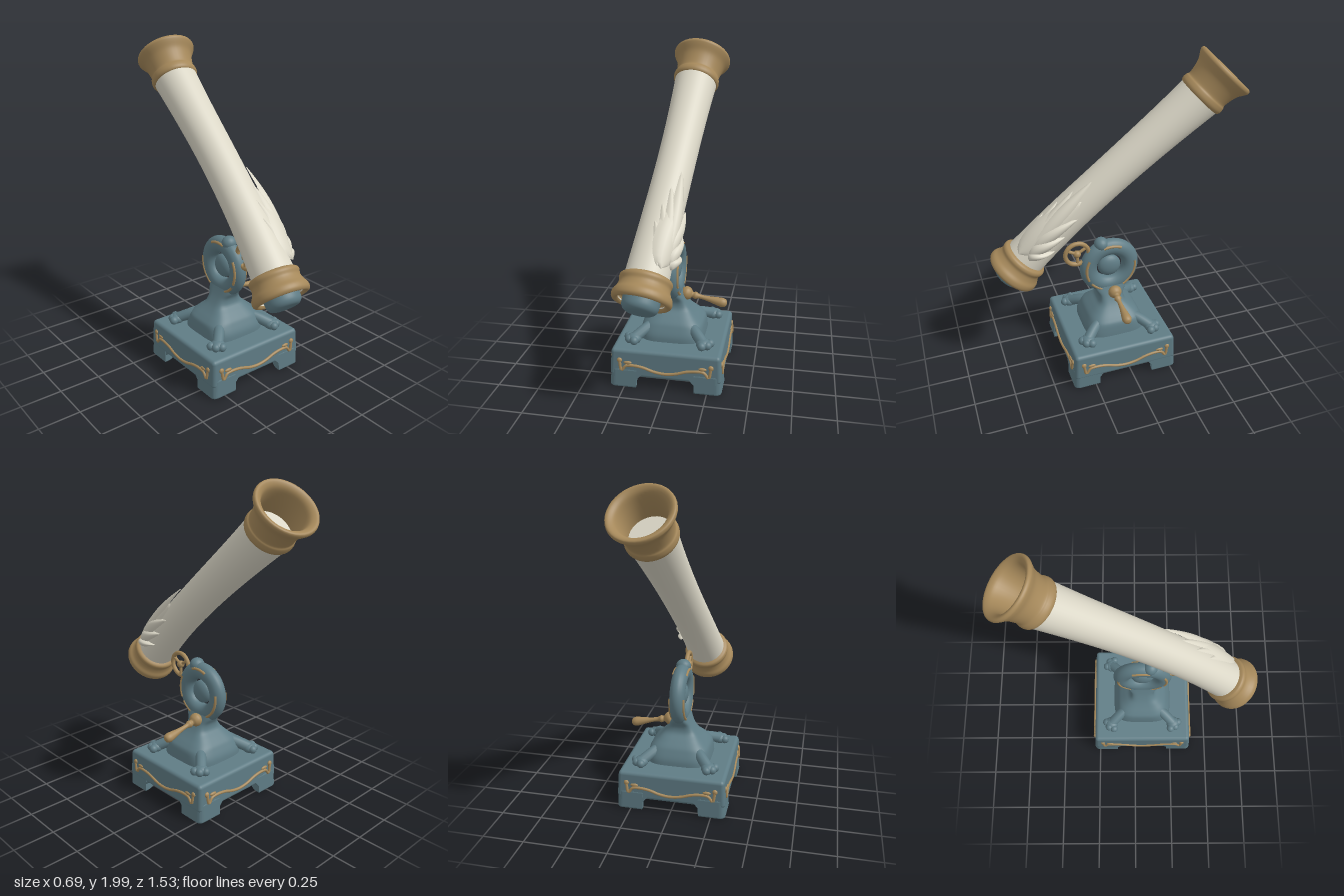
import * as THREE from 'three';
import { mergeVertices } from 'three/addons/utils/BufferGeometryUtils.js';
import { RoundedBoxGeometry } from 'three/addons/geometries/RoundedBoxGeometry.js';

const V = (x, y, z) => new THREE.Vector3(x, y, z);
const UP = V(0, 1, 0);

// Smooth surface from a rule fn(u, v), both running 0..1
function surface(fn, nu, nv) {
  const pos = [], idx = [];
  for (let j = 0; j <= nv; j++)
    for (let i = 0; i <= nu; i++) pos.push(...fn(i / nu, j / nv).toArray());
  for (let j = 0; j < nv; j++)
    for (let i = 0; i < nu; i++) {
      const a = j * (nu + 1) + i, b = a + 1, d = a + nu + 1, c = d + 1;
      idx.push(a, b, d, b, c, d);
    }
  let g = new THREE.BufferGeometry();
  g.setAttribute('position', new THREE.Float32BufferAttribute(pos, 3));
  g.setIndex(idx);
  g = mergeVertices(g);
  g.computeVertexNormals();
  return g;
}

// Turned part with a smooth profile of [radius, height] points
function turned(points, seg = 40) {
  const curve = new THREE.SplineCurve(points.map(p => new THREE.Vector2(...p)));
  const pts = curve.getPoints(points.length * 4);
  pts.forEach(p => { p.x = Math.max(p.x, 0); });
  return new THREE.LatheGeometry(pts, seg);
}

export function createModel() {
  const model = new THREE.Group();
  const mat = (name, color) => {
    const m = new THREE.MeshStandardMaterial({ color });
    m.name = name;
    return m;
  };
  const ivory = mat('ivory', 0xdad6c6);
  ivory.side = THREE.DoubleSide;
  const blue = mat('slate blue', 0x5f7c85);
  const gold = mat('old gold', 0xa5885a);

  const add = (name, geo, material, parent = model) => {
    const m = new THREE.Mesh(geo, material);
    m.name = name;
    parent.add(m);
    return m;
  };
  const place = (mesh, at, dir) => {
    mesh.position.copy(at);
    mesh.quaternion.setFromUnitVectors(UP, dir.clone().normalize());
    return mesh;
  };
  const rod = (name, a, b, r, material, parent) => place(
    add(name, new THREE.CylinderGeometry(r, r, a.distanceTo(b), 12), material, parent),
    a.clone().lerp(b, 0.5), b.clone().sub(a));
  const ball = (name, at, r, material, parent, scale = [1, 1, 1]) => {
    const m = add(name, new THREE.SphereGeometry(r, 20, 14), material, parent);
    m.position.copy(at);
    m.scale.set(...scale);
    return m;
  };

  // ---- Barrel, gently bent along its axis
  const axis = new THREE.CatmullRomCurve3([
    V(-0.07, 0.70, 0.645), V(-0.058, 0.80, 0.555), V(-0.03, 1.03, 0.325),
    V(0, 1.305, 0.015), V(0.036, 1.735, -0.505)]);
  const length = axis.getLength();
  const radius = u => 0.113 + 0.05 * (u - 0.55) ** 2 + 0.012 * u ** 4;
  // Point on the barrel: angle 0 faces +x, 90 degrees faces up and forward
  const onBarrel = (u, angle, off = 0) => {
    const p = axis.getPointAt(u), t = axis.getTangentAt(u);
    const side = V(1, 0, 0).addScaledVector(t, -t.x).normalize();
    const top = side.clone().cross(t);
    const r = radius(u) + off;
    return p.addScaledVector(side, r * Math.cos(angle)).addScaledVector(top, r * Math.sin(angle));
  };
  add('barrel', surface((u, v) => onBarrel(v, u * Math.PI * 2), 40, 40), ivory);

  // Muzzle
  const neck = V(0.036, 1.735, -0.505), muzzleDir = V(0.02, 0.13, -0.122);
  place(add('muzzle', turned([[0.118, -0.035], [0.138, -0.03], [0.146, -0.012], [0.143, 0.012],
    [0.136, 0.03], [0.142, 0.075], [0.154, 0.115], [0.176, 0.15], [0.184, 0.168], [0.178, 0.184],
    [0.16, 0.182], [0.138, 0.16], [0.126, 0.11], [0.12, 0.05], [0.119, -0.01]]), gold), neck, muzzleDir);
  place(add('boreFloor', new THREE.CylinderGeometry(0.121, 0.121, 0.008, 40), ivory), neck, muzzleDir);

  // Breech ring and plug
  const breech = axis.getPointAt(0), breechDir = axis.getTangentAt(0);
  place(add('breechRing', turned([[0.09, 0.025], [0.122, 0.02], [0.132, -0.005], [0.15, -0.015],
    [0.166, 0], [0.165, 0.028], [0.15, 0.055], [0.142, 0.085], [0.148, 0.11], [0.142, 0.128],
    [0.122, 0.138]]), gold), breech, breechDir);
  place(add('breechPlug', turned([[0, -0.068], [0.05, -0.067], [0.082, -0.06], [0.1, -0.038],
    [0.104, 0], [0.104, 0.03]]), blue), breech, breechDir);

  // Wing on the left flank: [start, angle, end, angle, half width, lift]
  const wing = new THREE.Group();
  wing.name = 'wing';
  model.add(wing);
  const rad = Math.PI / 180;
  [
    [0.16, 50, 0.64, 32, 0.075, 0.034],
    [0.20, 38, 0.76, 54, 0.040, 0.040],
    [0.20, 45, 0.64, 72, 0.036, 0.032],
    [0.18, 52, 0.53, 84, 0.034, 0.026],
    [0.17, 60, 0.42, 92, 0.030, 0.020],
    [0.24, 32, 0.55, 4, 0.036, 0.044],
    [0.20, 25, 0.42, -8, 0.034, 0.048],
    [0.18, 20, 0.31, -18, 0.028, 0.050],
  ].forEach(([s0, a0, s1, a1, w, lift]) => {
    add('feather', surface((b, a) => {
      const c = b * 2 - 1;
      const width = w * Math.sin(Math.PI * Math.pow(a, 0.75)) ** 0.7;
      const u = (s0 + (s1 - s0) * a) / length;
      const angle = (a0 + (a1 - a0) * a * a) * rad + c * width / 0.12;
      const off = 0.005 + lift * Math.sin(Math.PI * (0.12 + 0.83 * a)) * (1 - 0.6 * c * c);
      return onBarrel(u, angle, off);
    }, 8, 16), ivory, wing);
  });

  // ---- Stand
  const stand = new THREE.Group();
  stand.name = 'stand';
  stand.position.z = 0.05;
  model.add(stand);

  // Base slab and corner feet, widening towards the floor
  const taper = g => {
    const p = g.attributes.position;
    for (let i = 0; i < p.count; i++) {
      const k = 1 + (0.245 - p.getY(i)) * 0.15;
      p.setX(i, p.getX(i) * k);
      p.setZ(i, p.getZ(i) * k);
    }
    return g;
  };
  add('baseSlab', taper(new RoundedBoxGeometry(0.656, 0.175, 0.65, 4, 0.022).translate(0, 0.1575, 0)), blue, stand);
  const corner = new THREE.Shape();
  corner.moveTo(0.315, 0.29);
  corner.quadraticCurveTo(0.315, 0.315, 0.29, 0.315);
  corner.lineTo(0.18, 0.315);
  corner.quadraticCurveTo(0.18, 0.265, 0.225, 0.225);
  corner.quadraticCurveTo(0.265, 0.18, 0.315, 0.18);
  corner.closePath();
  for (let i = 0; i < 4; i++) {
    const g = new THREE.ExtrudeGeometry(corner, {
      depth: 0.1, bevelThickness: 0.012, bevelSize: 0.012, bevelSegments: 3, curveSegments: 8 });
    g.rotateX(-Math.PI / 2).translate(0, 0.012, 0).rotateY(i * Math.PI / 2);
    add('foot', taper(g), blue, stand);
    // sloping shoulders of the arches
    for (const s of [-1, 1]) {
      const tri = new THREE.Shape([[0.19, 0.03], [0.19, 0.1], [0.13, 0.1]].map(q => new THREE.Vector2(...q)));
      const shoulder = new THREE.ExtrudeGeometry(tri, { depth: 0.08, bevelEnabled: false });
      shoulder.translate(0, 0, 0.245);
      if (s < 0) shoulder.translate(0, 0, -0.285).rotateY(Math.PI).translate(0, 0, 0.285);
      add('archShoulder', taper(shoulder.rotateY(i * Math.PI / 2)), blue, stand);
    }
  }

  // Gilded scrollwork on all four sides
  const half = [[0.275, 0.175], [0.262, 0.115], [0.235, 0.145], [0.19, 0.15], [0.13, 0.142], [0.065, 0.122]];
  const scroll = [...half.map(([x, y]) => [-x, y]), [0, 0.114], ...half.slice().reverse()];
  for (let i = 0; i < 4; i++) {
    const side = new THREE.Group();
    side.name = 'scrollwork';
    side.rotation.y = i * Math.PI / 2;
    stand.add(side);
    const path = new THREE.CatmullRomCurve3(scroll.map(([x, y]) => V(x, y, 0.331 + (0.2 - y) * 0.05)));
    add('scrollBand', new THREE.TubeGeometry(path, 72, 0.009, 8), gold, side);
    for (const s of [-1, 1]) {
      ball('scrollEnd', V(s * 0.275, 0.178, 0.33), 0.016, gold, side, [1, 1, 0.7]);
      ball('scrollLeaf', V(s * 0.225, 0.165, 0.33), 0.018, gold, side, [1.4, 0.6, 0.5]);
    }
  }

  // Pedestal rising from a rounded square to a slim neck: [y, half x, half z]
  const steps = [[0.235, 0.2, 0.195], [0.28, 0.195, 0.19], [0.325, 0.185, 0.17], [0.35, 0.165, 0.155],
    [0.385, 0.13, 0.12], [0.42, 0.1, 0.085], [0.46, 0.075, 0.08], [0.5, 0.056, 0.1], [0.54, 0.04, 0.11]];
  const sizes = new THREE.CatmullRomCurve3(steps.map(s => V(s[1], s[0], s[2])));
  const bulge = c => Math.sign(c) * Math.abs(c) ** 0.5;
  add('pedestal', surface((u, v) => {
    const s = sizes.getPoint(v), a = u * Math.PI * 2;
    return V(s.x * bulge(Math.cos(a)), s.y, -s.z * bulge(Math.sin(a)));
  }, 48, 32), blue, stand);

  // Clawed legs lying across the slab
  for (const sx of [-1, 1]) for (const sz of [-1, 1]) {
    const leg = new THREE.Group();
    leg.name = 'pawLeg';
    leg.scale.set(sx, 1, sz);
    stand.add(leg);
    const path = new THREE.CatmullRomCurve3([V(0.1, 0.33, 0.08), V(0.155, 0.305, 0.15), V(0.21, 0.27, 0.21)]);
    add('leg', new THREE.TubeGeometry(path, 12, 0.034, 12), blue, leg);
    ball('paw', V(0.212, 0.268, 0.212), 0.045, blue, leg, [1, 0.75, 1]);
    [[0.25, 0.195], [0.238, 0.228], [0.205, 0.246]].forEach(([x, z]) =>
      ball('toe', V(x, 0.268, z), 0.026, blue, leg));
  }

  // ---- Round yoke with its hub
  const yoke = new THREE.Group();
  yoke.name = 'yoke';
  yoke.position.set(0, 0.655, 0.05);
  stand.add(yoke);
  yoke.position.z = 0;
  const ring = add('yokeRing', new THREE.TorusGeometry(0.136, 0.054, 20, 56).rotateY(Math.PI / 2), blue, yoke);
  ring.scale.x = 0.88;
  ball('yokeHub', V(0, 0, 0), 0.074, blue, yoke, [0.55, 1, 1]);
  ball('yokeCurl', V(0, 0.165, 0.05), 0.045, blue, yoke, [1.05, 1, 1]);
  // gilded arcs: [start, sweep] in degrees
  for (const s of [-1, 1])
    [[65, 42], [150, 55], [215, 40], [300, 70]].forEach(([start, sweep]) => {
      const arc = new THREE.TorusGeometry(0.157, 0.009, 8, 20, sweep * rad);
      arc.rotateZ(start * rad).rotateY(Math.PI / 2);
      add('yokeGilding', arc, gold, yoke).position.x = s * 0.041;
    });

  // ---- Hand wheel
  const wheel = new THREE.Group();
  wheel.name = 'handWheel';
  wheel.position.set(0, 0.78, 0.255);
  model.add(wheel);
  add('wheelRim', new THREE.TorusGeometry(0.074, 0.014, 10, 36).rotateY(Math.PI / 2), gold, wheel);
  ball('wheelHub', V(0, 0, 0), 0.024, gold, wheel);
  for (let i = 0; i < 3; i++) {
    const a = 0.5 + i * Math.PI * 2 / 3;
    rod('spoke', V(0, 0, 0), V(0, 0.074 * Math.sin(a), 0.074 * Math.cos(a)), 0.01, gold, wheel);
  }
  rod('wheelStem', V(0, -0.045, -0.06), V(0, -0.08, -0.1), 0.018, gold, wheel);

  // ---- Crank handle on the left side
  place(add('crank', turned([[0, 0], [0.03, 0.01], [0.043, 0.035], [0.034, 0.06], [0.018, 0.075],
    [0.023, 0.095], [0.014, 0.12], [0.016, 0.17], [0.025, 0.23], [0.029, 0.265], [0.02, 0.288],
    [0, 0.295]], 20), gold), V(0.035, 0.495, 0.035), V(0.29, -0.06, 0));

  return model;
}
